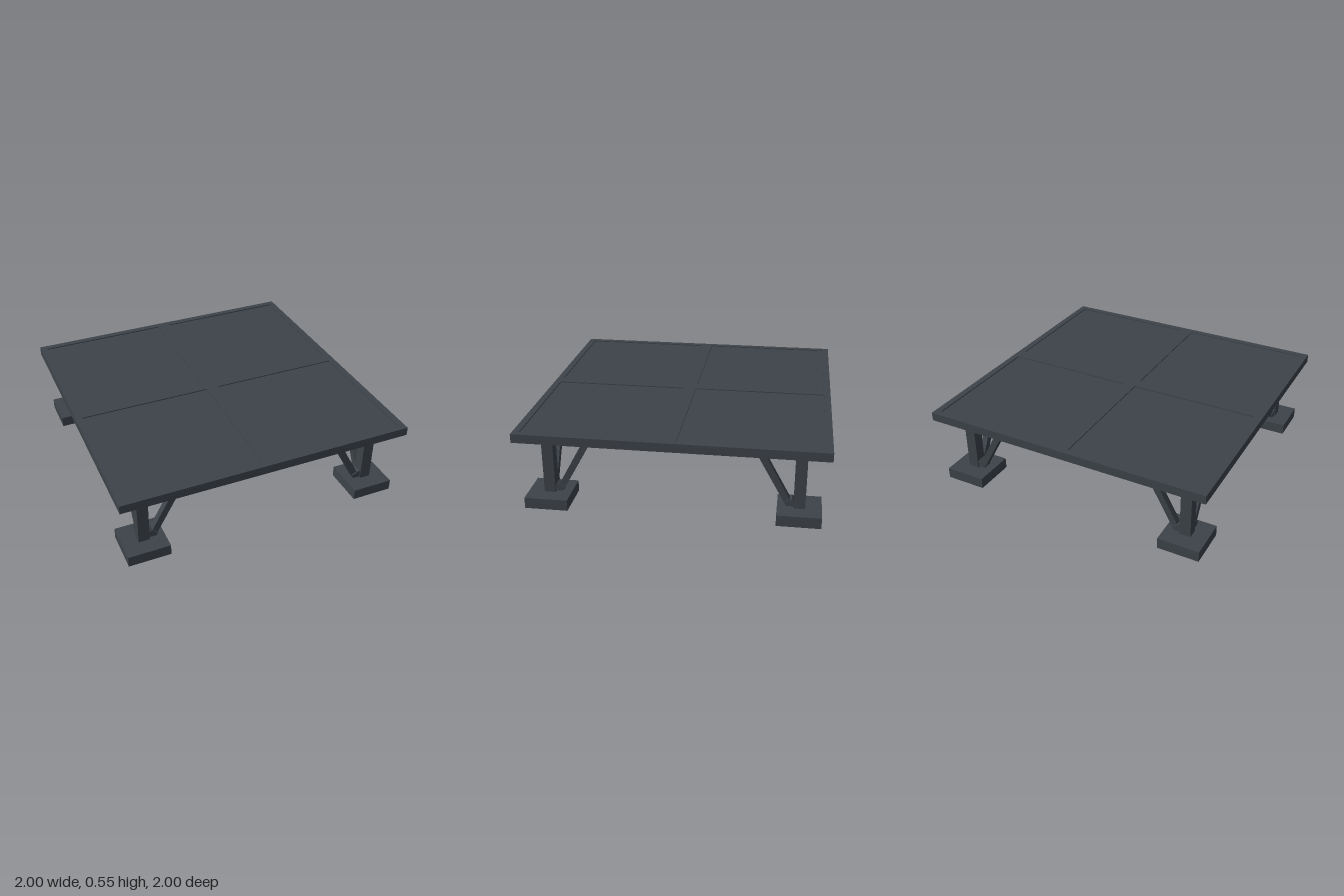
import * as THREE from 'three';

const steel = new THREE.MeshStandardMaterial({ color: 0x3d4349 });
steel.name = 'dark slate';

function add(parent, name, geometry, x = 0, y = 0, z = 0) {
  const mesh = new THREE.Mesh(geometry, steel);
  mesh.name = name;
  mesh.position.set(x, y, z);
  parent.add(mesh);
  return mesh;
}

// Side profile extruded to a thickness centred on z = 0
function profile(points, thickness) {
  const shape = new THREE.Shape(points.map(([x, y]) => new THREE.Vector2(x, y)));
  return new THREE.ExtrudeGeometry(shape, { depth: thickness, bevelEnabled: false })
    .translate(0, 0, -thickness / 2);
}

function square(path, x0, y0, x1, y1) {
  path.moveTo(x0, y0);
  path.lineTo(x1, y0);
  path.lineTo(x1, y1);
  path.lineTo(x0, y1);
  path.closePath();
  return path;
}

// Diagonal strut with its end fittings, reaching out along +x from the post
function createBrace() {
  const brace = new THREE.Group();
  brace.name = 'brace';
  add(brace, 'strut', profile([[0.046, 0.1], [0.095, 0.1], [0.304, 0.475], [0.252, 0.475]], 0.045));
  add(brace, 'lowerFitting', profile([[0.03, 0.085], [0.088, 0.085], [0.097, 0.112], [0.046, 0.138], [0.03, 0.11]], 0.06));
  add(brace, 'upperFitting', profile([[0.228, 0.488], [0.236, 0.46], [0.284, 0.43], [0.342, 0.488]], 0.06));
  return brace;
}

// Foot, post, collar and two braces at right angles
function createLeg() {
  const leg = new THREE.Group();
  leg.name = 'leg';
  add(leg, 'foot', new THREE.BoxGeometry(0.285, 0.075, 0.285), 0, 0.0375, 0);
  add(leg, 'post', new THREE.BoxGeometry(0.075, 0.412, 0.075), 0, 0.281, 0);
  add(leg, 'collar', new THREE.BoxGeometry(0.095, 0.014, 0.095), 0, 0.48, 0);
  for (const angle of [0, -Math.PI / 2]) {
    const brace = createBrace();
    brace.rotation.y = angle;
    leg.add(brace);
  }
  return leg;
}

export function createModel() {
  const model = new THREE.Group();
  model.name = 'platform';

  // Deck slab forms the floor of the four sunken panels
  add(model, 'deck', new THREE.BoxGeometry(2, 0.052, 2), 0, 0.512, 0);

  // Raised border and cross ribs
  const frame = square(new THREE.Shape(), -1, -1, 1, 1);
  for (const x of [-0.955, 0.045]) {
    for (const z of [-0.955, 0.045]) {
      frame.holes.push(square(new THREE.Path(), x, z, x + 0.91, z + 0.91));
    }
  }
  add(model, 'deckFrame', new THREE.ExtrudeGeometry(frame, { depth: 0.007, bevelEnabled: false })
    .rotateX(-Math.PI / 2), 0, 0.538, 0);

  // A leg at each corner, braces turned toward the middle
  for (let i = 0; i < 4; i++) {
    const leg = createLeg();
    const angle = -i * Math.PI / 2;
    leg.rotation.y = angle;
    leg.position.set(-0.8175, 0, -0.8175).applyAxisAngle(new THREE.Vector3(0, 1, 0), angle);
    model.add(leg);
  }
  return model;
}
